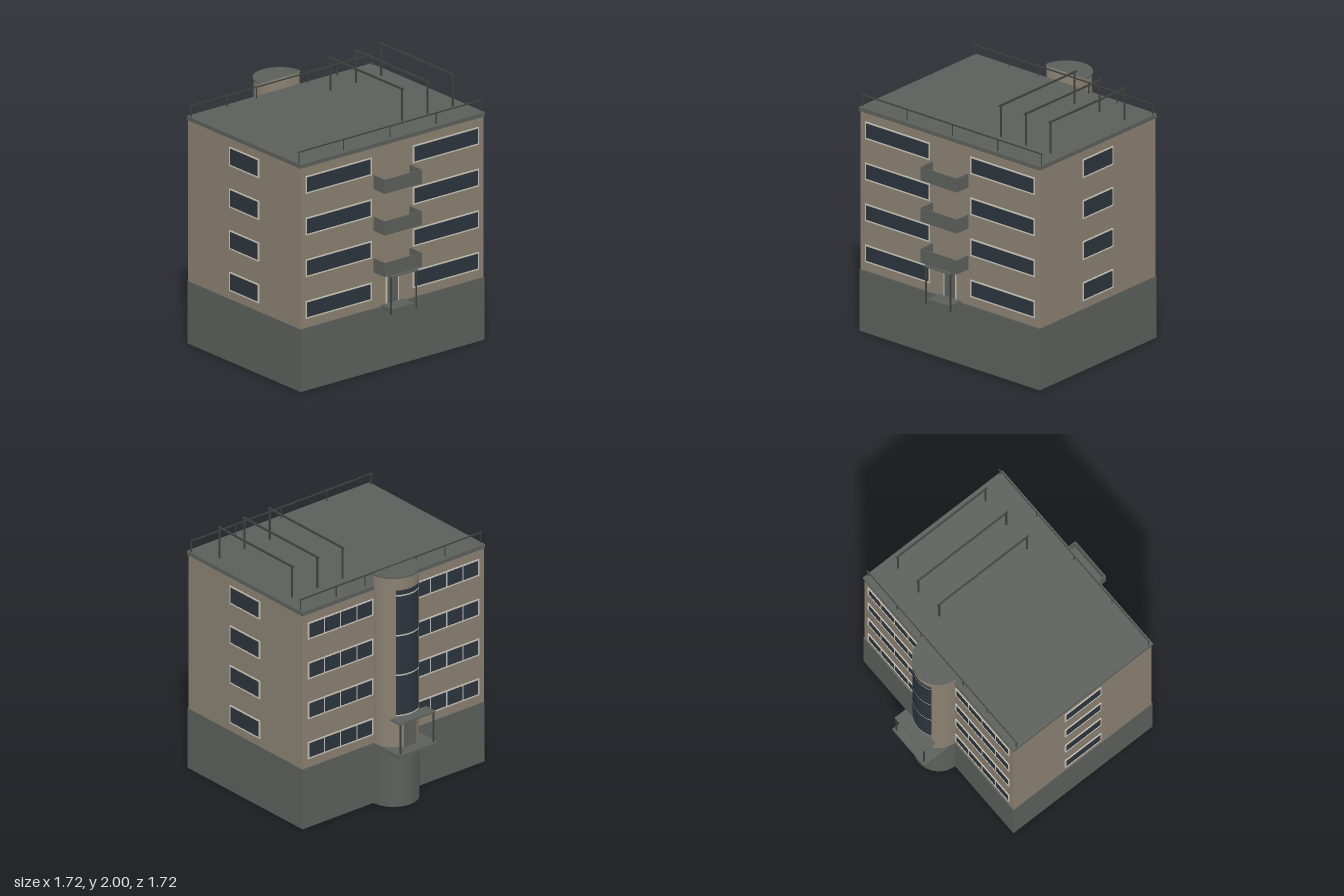
import * as THREE from 'three';

const mat = (name, color, side = THREE.FrontSide) => {
  const m = new THREE.MeshStandardMaterial({ color, side });
  m.name = name;
  return m;
};

export function createModel() {
  const root = new THREE.Group();
  root.name = 'apartmentBlock';
  const plaster = mat('beige plaster', 0x8a8071, THREE.DoubleSide);
  const concrete = mat('grey concrete', 0x5b5f5b, THREE.DoubleSide);
  const glass = mat('dark glass', 0x2c343c, THREE.DoubleSide);
  const trim = mat('light trim', 0xc4c0b5, THREE.DoubleSide);
  const metal = mat('dark metal', 0x3e423f);

  const add = (parent, name, geo, material) => {
    const m = new THREE.Mesh(geo, material);
    m.name = name;
    parent.add(m);
    return m;
  };
  // box given by its minimum and maximum along each axis
  const box = (parent, name, material, x0, x1, y0, y1, z0, z1) => {
    const m = add(parent, name, new THREE.BoxGeometry(x1 - x0, y1 - y0, z1 - z0), material);
    m.position.set((x0 + x1) / 2, (y0 + y1) / 2, (z0 + z1) / 2);
    return m;
  };
  const group = (name) => {
    const g = new THREE.Group();
    g.name = name;
    root.add(g);
    return g;
  };

  // main block
  const X0 = -0.575, X1 = 0.705, Z = 0.85;
  box(root, 'basement', concrete, -0.58, 0.714, 0, 0.48, -0.854, 0.854);
  box(root, 'walls', plaster, X0, X1, 0.48, 1.72, -Z, Z);
  box(root, 'roofSlab', concrete, -0.582, 0.716, 1.718, 1.748, -0.857, 0.857);

  // framed window facing +z, then turned towards its wall
  const addWindow = (x, y, z, w, h, turn, panes) => {
    const g = group('window');
    const b = 0.009;
    box(g, 'windowGlass', glass, -w / 2 + b, w / 2 - b, -h / 2 + b, h / 2 - b, 0, 0.004);
    for (const s of [-1, 1]) {
      const cx = s * (w / 2 - b / 2), cy = s * (h / 2 - b / 2);
      box(g, 'windowJamb', trim, cx - b / 2, cx + b / 2, -h / 2, h / 2, 0, 0.008);
      box(g, 'windowRail', trim, -w / 2 + b, w / 2 - b, cy - b / 2, cy + b / 2, 0, 0.008);
    }
    for (let i = 1; i < panes; i++) {
      const cx = -w / 2 + (w * i) / panes;
      box(g, 'mullion', trim, cx - 0.004, cx + 0.004, -h / 2 + b, h / 2 - b, 0, 0.007);
    }
    g.position.set(x, y, z);
    g.rotation.y = turn;
  };
  for (let i = 0; i < 4; i++) {
    const y = 0.617 + i * 0.3205;
    addWindow(0.068, y, Z, 0.336, 0.145, 0, 1);
    addWindow(0.068, y, -Z, 0.336, 0.145, Math.PI, 1);
    for (const s of [-1, 1]) {
      addWindow(X1, y, s * 0.498, 0.61, 0.134, Math.PI / 2, 1);
      addWindow(X0, y, s * 0.498, 0.61, 0.134, -Math.PI / 2, 4);
    }
  }

  // half-round stair tower on the right side
  const tower = group('stairTower');
  const R = 0.187;
  const arc = (name, material, r, y0, y1, half) => {
    const geo = new THREE.CylinderGeometry(r, r, y1 - y0, 24, 1, true, -Math.PI / 2 - half, half * 2);
    add(tower, name, geo, material).position.set(-0.576, (y0 + y1) / 2, 0);
  };
  arc('towerBase', concrete, R + 0.003, 0, 0.48, Math.PI / 2);
  arc('towerWall', plaster, R, 0.48, 1.845, Math.PI / 2);
  const cap = add(tower, 'towerCap',
    new THREE.CylinderGeometry(0.195, 0.195, 0.012, 24, 1, false, Math.PI, Math.PI), concrete);
  cap.position.set(-0.576, 1.844, 0);
  const soffit = add(tower, 'towerBottom',
    new THREE.CircleGeometry(R, 24, Math.PI / 2, Math.PI), concrete);
  soffit.rotation.x = Math.PI / 2;
  soffit.position.set(-0.576, 0.001, 0);
  arc('towerGlass', glass, R + 0.003, 0.715, 1.742, 0.6);
  for (const y of [0.735, 1.06, 1.38, 1.7]) arc('towerTransom', trim, R + 0.005, y - 0.006, y + 0.006, 0.6);

  // porch on the tower
  const porch = group('towerPorch');
  box(porch, 'porchSlab', concrete, -0.86, -0.65, 0.455, 0.48, -0.182, 0.182);
  box(porch, 'porchCanopy', concrete, -0.85, -0.745, 0.718, 0.73, -0.168, 0.168);
  for (const z of [-0.155, 0.155]) box(porch, 'porchPost', metal, -0.846, -0.836, 0.48, 0.72, z - 0.005, z + 0.005);
  box(porch, 'porchDoor', concrete, -0.769, -0.763, 0.48, 0.715, -0.055, 0.055);

  // open-topped balconies on the left side
  for (const y of [0.758, 1.078, 1.398]) {
    const b = group('balcony');
    const t = 0.008, h = 0.107, x = 0.836, z = 0.173;
    box(b, 'balconyFloor', concrete, X1, x, y, y + t, -z, z);
    box(b, 'balconyFront', concrete, x - t, x, y + t, y + h, -z, z);
    for (const s of [-1, 1]) {
      const c = s * (z - t / 2);
      box(b, 'balconySide', concrete, X1, x - t, y + t, y + h, c - t / 2, c + t / 2);
    }
  }

  // entrance below the balconies
  const entry = group('entrance');
  box(entry, 'entranceStep', concrete, X1, 0.836, 0.455, 0.492, -0.103, 0.103);
  box(entry, 'entranceCanopy', concrete, X1, 0.857, 0.747, 0.757, -0.123, 0.123);
  box(entry, 'entranceDoor', concrete, X1, 0.71, 0.492, 0.71, -0.05, 0.05);
  box(entry, 'doorHead', trim, X1, 0.713, 0.71, 0.72, -0.06, 0.06);
  for (const s of [-1, 1]) {
    box(entry, 'doorJamb', trim, X1, 0.713, 0.492, 0.71, s * 0.055 - 0.005, s * 0.055 + 0.005);
    box(entry, 'entrancePost', metal, 0.834, 0.844, 0.455, 0.75, s * 0.117 - 0.004, s * 0.117 + 0.004);
  }

  // roof railings along both long edges
  const railing = (x, posts) => {
    const g = group('roofRailing');
    box(g, 'handrail', metal, x - 0.004, x + 0.004, 1.83, 1.838, -0.855, 0.855);
    for (const z of posts) box(g, 'railingPost', metal, x - 0.003, x + 0.003, 1.748, 1.832, z - 0.003, z + 0.003);
  };
  railing(0.682, [-0.845, -0.43, 0, 0.43, 0.845]);
  railing(-0.546, [-0.845, -0.51, -0.24, 0.24, 0.51, 0.845]);

  // roof frames
  for (const z of [-0.753, -0.518, -0.281]) {
    const g = group('roofFrame');
    box(g, 'frameBar', metal, -0.36, 0.492, 1.988, 2, z - 0.006, z + 0.006);
    for (const x of [-0.342, 0.474]) box(g, 'framePost', metal, x - 0.006, x + 0.006, 1.748, 1.988, z - 0.005, z + 0.005);
  }
  return root;
}
